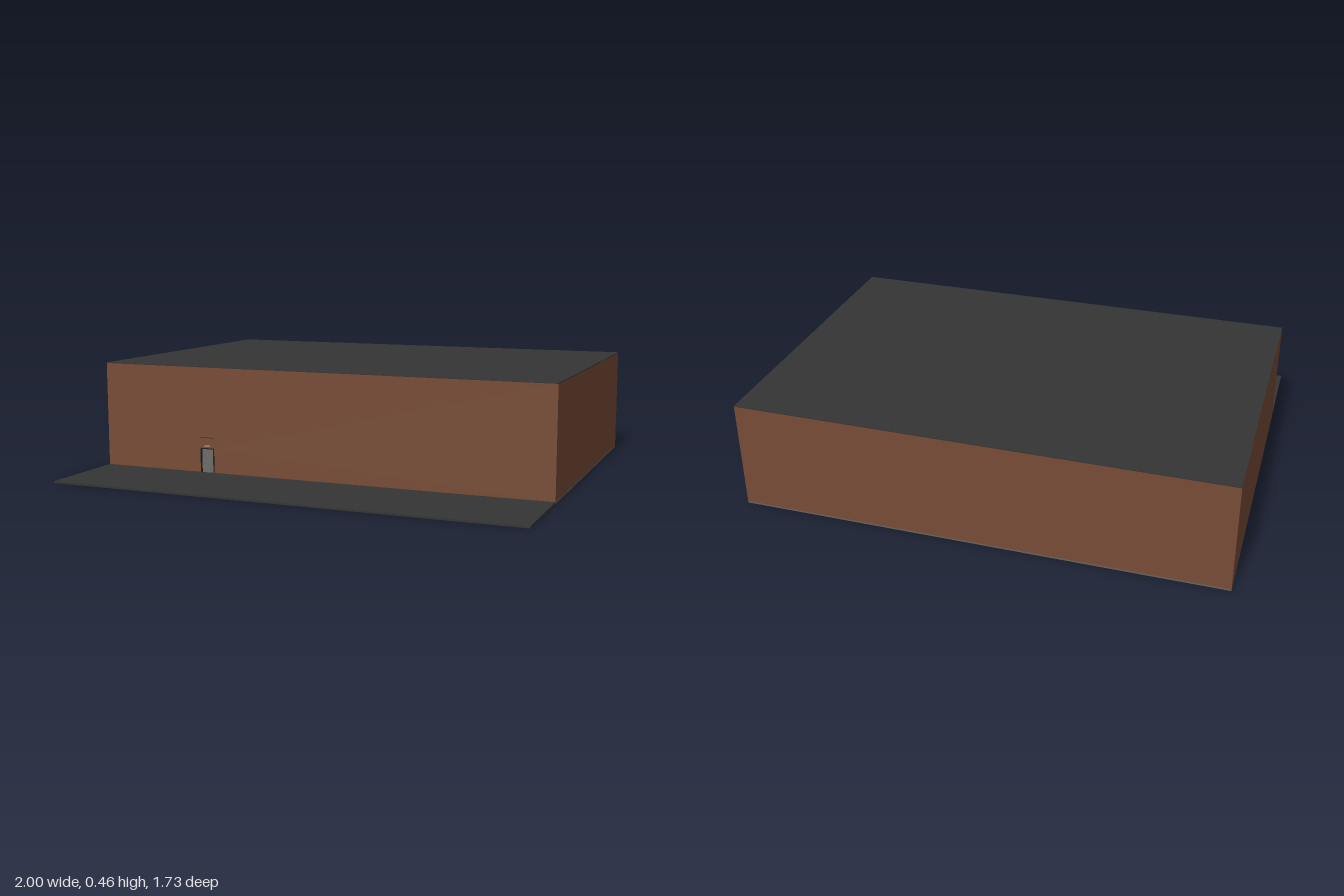
import * as THREE from 'three';

const mat = (name, color) => {
  const m = new THREE.MeshStandardMaterial({ color });
  m.name = name;
  return m;
};

export function createModel() {
  const brick = mat('brick', 0x784c36);
  const asphalt = mat('asphalt', 0x353535);
  const concrete = mat('floor concrete', 0x68645a);
  const rug = mat('brown flooring', 0x70452f);
  const tile = mat('pale flooring', 0x9a8e80);
  const doorGrey = mat('door grey', 0x6f6c68);
  const frameDark = mat('frame dark', 0x222222);
  const lampCream = mat('lamp cream', 0xc8b48c);

  const model = new THREE.Group();
  // Box given by its limits on each axis
  const box = (name, material, x0, x1, y0, y1, z0, z1, parent = model) => {
    const mesh = new THREE.Mesh(new THREE.BoxGeometry(x1 - x0, y1 - y0, z1 - z0), material);
    mesh.position.set((x0 + x1) / 2, (y0 + y1) / 2, (z0 + z1) / 2);
    mesh.name = name;
    parent.add(mesh);
    return mesh;
  };

  const back = -0.865, front = 0.465, edge = 0.865, base = 0.008, top = 0.462, t = 0.015;

  // Ground slabs
  box('forecourt', asphalt, -1, 1, 0, base, front, edge);
  box('floor', concrete, -1, 1, 0.001, base, back, front);

  // Front wall with a doorway
  const d0 = -0.535, d1 = -0.47, doorTop = 0.112;
  const wall = new THREE.Shape();
  [[-1, base], [d0, base], [d0, doorTop], [d1, doorTop], [d1, base], [1, base], [1, top - 0.003], [-1, top - 0.003]]
    .forEach(([x, y], i) => (i ? wall.lineTo(x, y) : wall.moveTo(x, y)));
  const frontWall = new THREE.Mesh(
    new THREE.ExtrudeGeometry(wall, { depth: t, bevelEnabled: false }), brick);
  frontWall.position.z = front - t;
  frontWall.name = 'frontWall';
  model.add(frontWall);

  // Remaining walls and flat roof
  box('backWall', brick, -1, 1, base, top - 0.003, back, back + t);
  for (const s of [-1, 1]) {
    const a = s * 1, b = s * (1 - t);
    box(s > 0 ? 'leftWall' : 'rightWall', brick,
      Math.min(a, b), Math.max(a, b), base, top - 0.003, back + t, front - t);
  }
  box('roof', asphalt, -1, 1, top - 0.003, top, back, front);

  // Entrance door, frame and small lamp above it
  const entrance = new THREE.Group();
  entrance.name = 'entrance';
  model.add(entrance);
  box('door', doorGrey, d0, d1, base, doorTop, front - 0.012, front - 0.006, entrance);
  for (const x of [d0, d1 - 0.004])
    box('doorJamb', frameDark, x, x + 0.004, base, doorTop, front - 0.012, front + 0.003, entrance);
  box('doorHead', frameDark, d0, d1, doorTop - 0.003, doorTop + 0.001, front - 0.012, front + 0.003, entrance);
  box('lamp', lampCream, -0.515, -0.49, 0.121, 0.125, front, front + 0.004, entrance);
  box('signRail', frameDark, -0.535, -0.47, 0.157, 0.159, front, front + 0.001, entrance);

  // Floor areas showing on the underside
  const areas = [
    ['paleArea', tile, 0.53, 0.94, -0.8, -0.4],
    ['largeBrownArea', rug, 0.135, 0.93, -0.21, 0.4],
    ['brownArea', rug, -0.27, 0.466, -0.8, -0.4],
    ['smallBrownArea', rug, -0.19, -0.1, -0.125, -0.1],
    ['darkStripA', frameDark, -0.41, -0.4, -0.4, -0.32],
    ['darkStripB', frameDark, -0.47, -0.46, -0.28, -0.2],
  ];
  for (const [name, m, x0, x1, z0, z1] of areas) box(name, m, x0, x1, 0, 0.004, z0, z1);

  return model;
}
